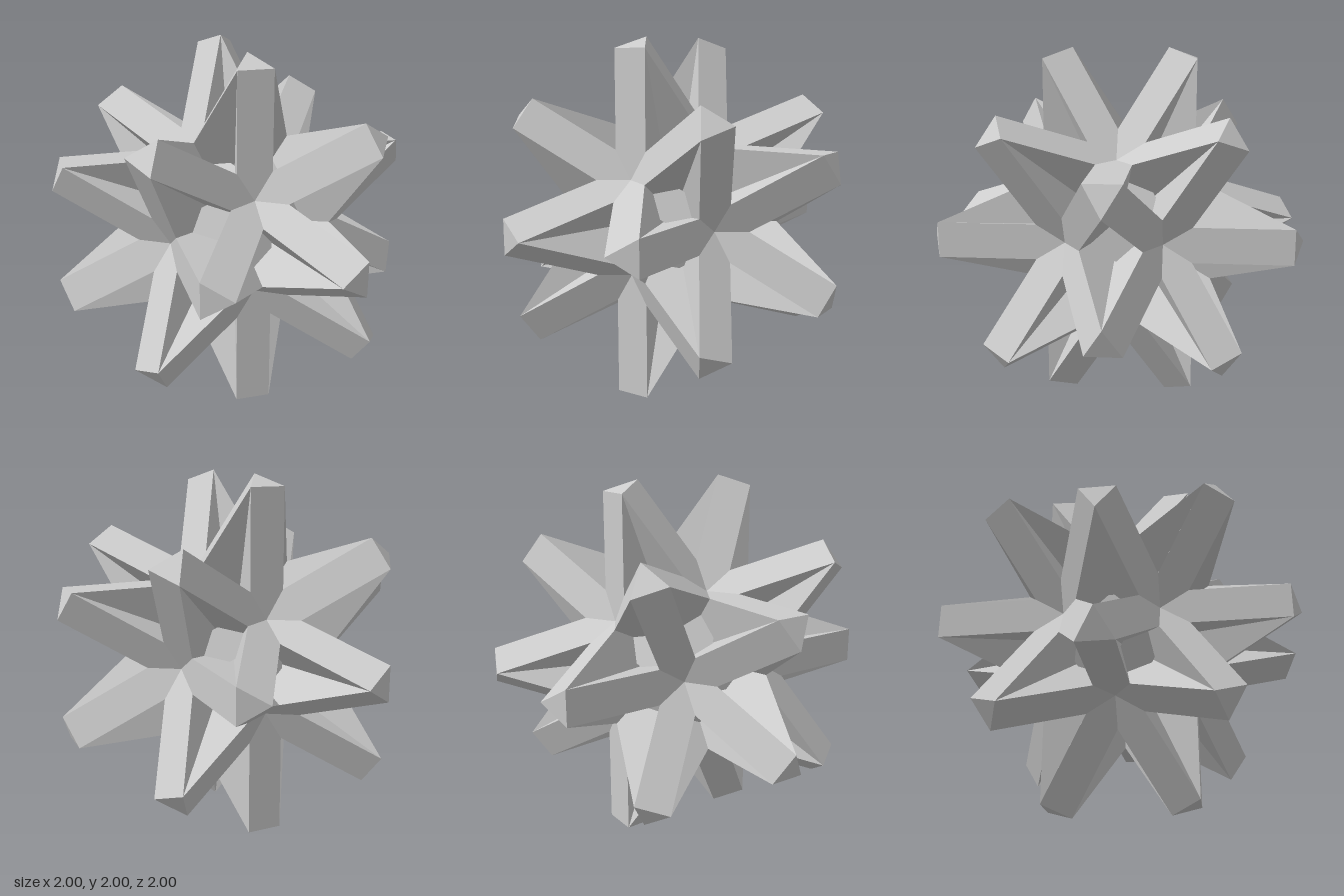
import * as THREE from 'three';

const PHI = (1 + Math.sqrt(5)) / 2;

// Every sign and cyclic order of (0, a, b)
function cyclicPoints(a, b) {
  const points = [];
  for (const s of [1, -1]) for (const t of [1, -1]) {
    const p = [0, a * s, b * t];
    for (let k = 0; k < 3; k++) {
      points.push(new THREE.Vector3(p[k], p[(k + 1) % 3], p[(k + 2) % 3]));
    }
  }
  return points;
}

// Long strip facing +z whose two long edges fold back to the centre
function wedgeGeometry(l, w, d) {
  const corners = [-l, -w, d, l, -w, d, l, w, d, -l, w, d, 0, 0, 0];
  const indexed = new THREE.BufferGeometry();
  indexed.setAttribute('position', new THREE.Float32BufferAttribute(corners, 3));
  indexed.setIndex([0, 1, 2, 0, 2, 3, 1, 0, 4, 3, 2, 4]);
  const geometry = indexed.toNonIndexed();
  geometry.computeVertexNormals();
  return geometry;
}

export function createModel() {
  const model = new THREE.Group();
  model.name = 'starPolyhedron';
  const body = new THREE.Group();
  body.name = 'body';
  body.position.y = 1;
  model.add(body);

  const material = new THREE.MeshStandardMaterial({
    color: 0xcccccc, flatShading: true, side: THREE.DoubleSide,
  });

  // Twenty arm directions
  const arms = cyclicPoints(PHI, 1 / PHI);
  for (const x of [1, -1]) for (const y of [1, -1]) for (const z of [1, -1]) {
    arms.push(new THREE.Vector3(x, y, z));
  }

  // One tip corner fixes all the other sizes
  const corner = new THREE.Vector3(0, 1, 0.264);
  const armAxis = arms[0].clone().normalize();
  const tipDistance = corner.dot(armAxis);
  const tipRadius = Math.sqrt(corner.lengthSq() - tipDistance ** 2);
  const halfWidth = tipRadius * Math.sin(Math.PI / 3);
  const halfLength = armAxis.y * tipDistance - armAxis.z * tipRadius / 2;
  const bandDistance = armAxis.z * tipDistance + armAxis.y * tipRadius / 2;

  // Triangle with its first corner on +x
  const tip = new THREE.CircleGeometry(tipRadius, 3);
  const wedge = wedgeGeometry(halfLength, halfWidth, bandDistance);

  // Stand a part at a distance along normal, its x axis toward a point
  function place(name, geometry, normal, toward, distance) {
    const z = normal.clone().normalize();
    const x = toward.clone().projectOnPlane(z).normalize();
    const y = z.clone().cross(x);
    const mesh = new THREE.Mesh(geometry, material);
    mesh.name = name;
    mesh.quaternion.setFromRotationMatrix(new THREE.Matrix4().makeBasis(x, y, z));
    mesh.position.copy(z).multiplyScalar(distance);
    body.add(mesh);
  }

  const near = (a, b) => Math.abs(a - b) < 0.01;

  // Triangular caps at the arm ends
  for (const a of arms) {
    const neighbour = arms.find((b) => near(a.distanceTo(b), 2 / PHI));
    place('armTip', tip, a, neighbour, tipDistance);
  }

  // Wedges, each joining two arms; their sides form the grooves
  arms.forEach((a, i) => arms.slice(i + 1).forEach((b) => {
    if (near(a.distanceTo(b), 2 * PHI)) {
      place('armWedge', wedge, a.clone().add(b), a.clone().sub(b), 0);
    }
  }));

  return model;
}
